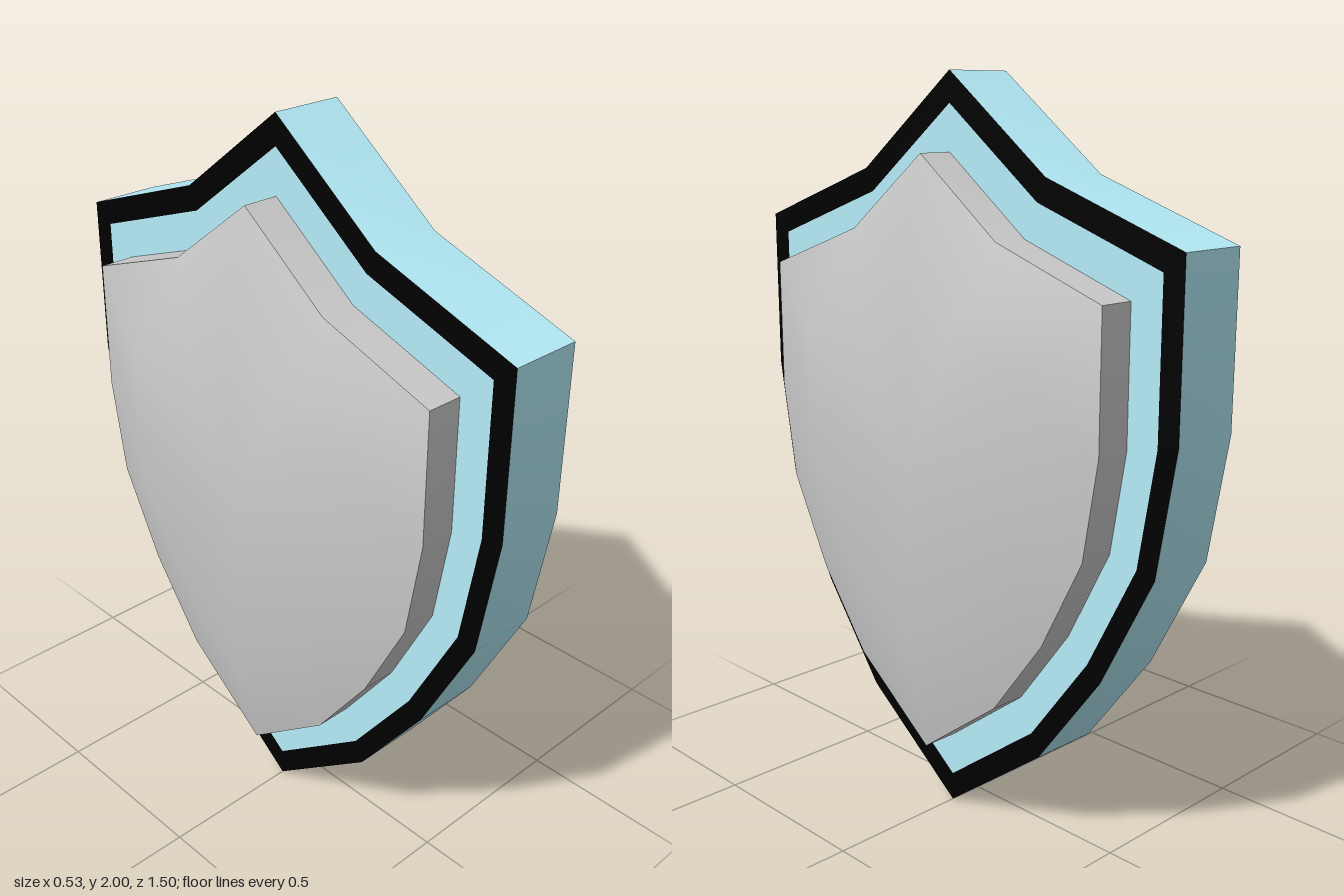
import * as THREE from 'three';
import { toCreasedNormals } from 'three/addons/utils/BufferGeometryUtils.js';

const CENTRE_Y = 1;

// Half outline of the shield as [z, y], from the top point down to the tip
const half = [
  [0, 2], [0.33, 1.75], [0.75, 1.605], [0.75, 1.165],
  [0.695, 0.835], [0.535, 0.525], [0.33, 0.25], [0, 0],
];
const outline = [...half, ...half.slice(1, -1).reverse().map(([z, y]) => [-z, y])];

// Joins scaled copies of the outline; each section is [scale, x], running from -x to +x
function loft(sections) {
  const positions = [];
  const point = ([scale, x], j) => {
    const [z, y] = outline[j % outline.length];
    return [x, CENTRE_Y + (y - CENTRE_Y) * scale, z * scale];
  };
  for (let i = 0; i < sections.length - 1; i++) {
    const s = sections[i], t = sections[i + 1];
    for (let j = 0; j < outline.length; j++) {
      const a = point(s, j), b = point(s, j + 1), c = point(t, j), d = point(t, j + 1);
      if (s[0] > 0) positions.push(...a, ...b, ...d);
      if (t[0] > 0) positions.push(...a, ...d, ...c);
    }
  }
  const geometry = new THREE.BufferGeometry();
  geometry.setAttribute('position', new THREE.Float32BufferAttribute(positions, 3));
  return toCreasedNormals(geometry, THREE.MathUtils.degToRad(30));
}

export function createModel() {
  const group = new THREE.Group();
  group.name = 'shield';

  const blue = new THREE.MeshStandardMaterial({ color: 0xb4ecf8 });
  const black = new THREE.MeshStandardMaterial({ color: 0x000000 });
  const grey = new THREE.MeshStandardMaterial({ color: 0xcccccc });

  const add = (name, sections, material) => {
    const mesh = new THREE.Mesh(loft(sections), material);
    mesh.name = name;
    group.add(mesh);
  };

  // Thick outer rim and the blue faces inside the border
  add('rim', [[1, -0.1], [1, 0.1]], blue);
  add('rightFace', [[0, -0.1], [0.92, -0.1]], blue);
  add('leftFace', [[0.92, 0.1], [0, 0.1]], blue);

  // Black border, flush with both faces
  add('rightBorder', [[0.92, -0.1], [1, -0.1]], black);
  add('leftBorder', [[1, 0.1], [0.92, 0.1]], black);

  // Raised panel through the middle, with a sloped shoulder on each side
  const panel = 0.8, plateau = 0.524;
  add('panel', [
    [0, -0.263], [plateau, -0.263], [panel, -0.2],
    [panel, 0.2], [plateau, 0.263], [0, 0.263],
  ], grey);

  return group;
}
